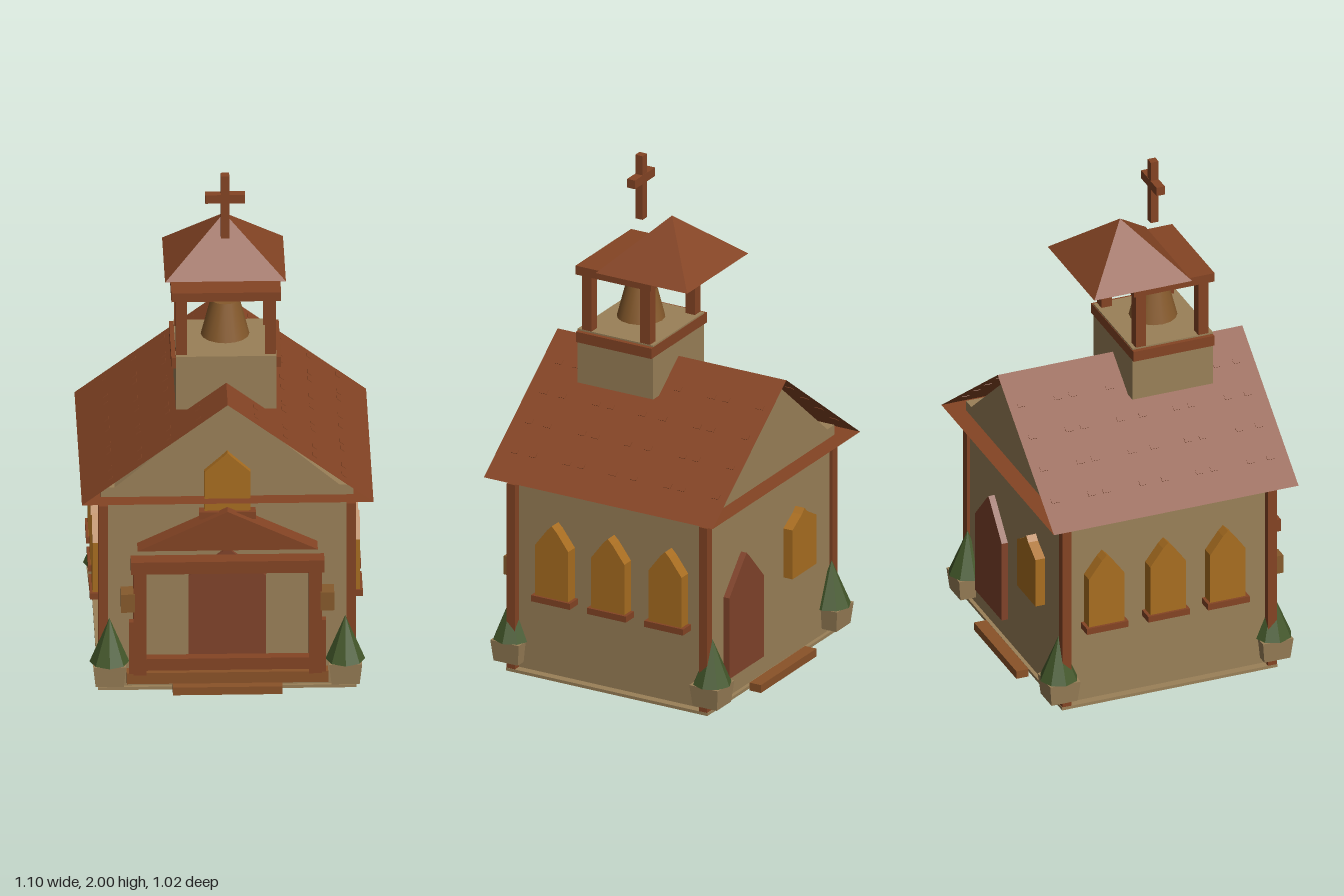
import * as THREE from 'three';

const mat = (name, color, side = THREE.FrontSide) => {
  const m = new THREE.MeshStandardMaterial({ color, side });
  m.name = name;
  return m;
};

export function createModel() {
  const root = new THREE.Group();
  root.name = 'chapel';
  const plaster = mat('plaster', 0x9a8058);
  const timber = mat('timber', 0x844424);
  const tile = mat('roofTile', 0x844424, THREE.DoubleSide);
  const doorWood = mat('doorWood', 0x80432a);
  const glass = mat('goldenGlass', 0xa86d20);
  const bronze = mat('bronze', 0x865a2c);
  const deck = mat('deckWood', 0x8a5228);
  const leaf = mat('leaf', 0x44582b);

  const add = (name, geo, m) => {
    const mesh = new THREE.Mesh(geo, m);
    mesh.name = name;
    root.add(mesh);
    return mesh;
  };
  // Box given by its limits on each axis
  const box = (name, m, x0, x1, y0, y1, z0, z1) => {
    const mesh = add(name, new THREE.BoxGeometry(x1 - x0, y1 - y0, z1 - z0), m);
    mesh.position.set((x0 + x1) / 2, (y0 + y1) / 2, (z0 + z1) / 2);
    return mesh;
  };
  // Upright outline pushed out along +z
  const slab = (name, m, points, depth) => {
    const shape = new THREE.Shape(points.map(p => new THREE.Vector2(...p)));
    return add(name, new THREE.ExtrudeGeometry(shape, { depth, bevelEnabled: false }), m);
  };
  // Rectangle with a pointed top
  const pointed = (name, m, w, y0, shoulder, apex, depth) => slab(name, m,
    [[-w / 2, y0], [w / 2, y0], [w / 2, shoulder], [0.02, apex - 0.02], [0, apex], [-0.02, apex - 0.02], [-w / 2, shoulder]], depth);
  const flat = geo => {
    const g = geo.toNonIndexed();
    g.computeVertexNormals();
    return g;
  };

  // Walls and gables
  box('walls', plaster, -0.455, 0.455, 0, 0.8, -0.425, 0.425);
  slab('gable', plaster, [[-0.477, 0.8], [0.477, 0.8], [0.477, 0.84], [0.425, 0.84], [0, 1.2], [-0.425, 0.84], [-0.477, 0.84]], 0.86)
    .position.z = -0.43;
  box('plinth', plaster, -0.487, 0.487, 0, 0.012, -0.44, 0.44);

  // Main roof: two thin slopes and a flat soffit
  const slopeLength = Math.hypot(0.55, 0.41), pitch = Math.atan2(0.41, 0.55);
  for (const s of [-1, 1]) {
    const slope = add('roofSlope', new THREE.PlaneGeometry(slopeLength, 1).rotateX(-Math.PI / 2), tile);
    slope.rotation.z = -s * pitch;
    slope.position.set(s * 0.275, 1.005, 0);
    // Small raised tile edges in rows
    for (let row = 1; row <= 4; row++) {
      for (const z of [-0.45, -0.3, -0.24, -0.09, 0, 0.14, 0.2, 0.35, 0.43]) {
        const t = add('tileEdge', new THREE.BoxGeometry(0.02, 0.004, 0.03), tile);
        t.rotation.z = -s * pitch;
        t.position.set(s * 0.11 * row, 1.21 - 0.745 * 0.11 * row, z);
      }
    }
  }
  add('soffit', new THREE.PlaneGeometry(1.1, 1).rotateX(-Math.PI / 2), tile).position.y = 0.8;

  // Corner posts, potted trees and side windows
  for (const sx of [-1, 1]) {
    for (const sz of [-1, 1]) {
      const post = box('cornerPost', timber, -0.018, 0.018, 0.012, 0.765, -0.018, 0.018);
      post.position.x = sx * 0.468;
      post.position.z = sz * 0.42;
      const pot = add('planter', flat(new THREE.CylinderGeometry(0.088, 0.075, 0.085, 4).rotateY(Math.PI / 4)), plaster);
      pot.position.set(sx * 0.445, 0.078, sz * 0.435);
      const tree = add('tree', flat(new THREE.ConeGeometry(0.075, 0.18, 8)), leaf);
      tree.position.set(sx * 0.445, 0.21, sz * 0.437);
    }
    for (const z of [0.23, -0.015, -0.265]) {
      const win = pointed('sideWindow', glass, 0.145, 0.34, 0.55, 0.64, 0.055);
      win.rotation.y = sx * Math.PI / 2;
      win.position.set(sx * 0.45, 0, z);
      const sill = box('sideSill', timber, -0.035, 0.035, 0.32, 0.345, z - 0.085, z + 0.085);
      sill.position.x = sx * 0.48;
    }
  }

  // Front door and upper window
  pointed('frontDoor', doorWood, 0.292, 0.1, 0.47, 0.59, 0.02).position.z = 0.42;
  pointed('frontWindow', glass, 0.174, 0.75, 0.91, 0.99, 0.035).position.z = 0.42;
  box('frontSill', timber, -0.107, 0.107, 0.72, 0.75, 0.42, 0.47);

  // Back door and window
  const backDoor = pointed('backDoor', doorWood, 0.26, 0.1, 0.43, 0.57, 0.03);
  backDoor.rotation.y = Math.PI;
  backDoor.position.set(0.21, 0, -0.42);
  const backWindow = pointed('backWindow', glass, 0.18, 0.35, 0.55, 0.61, 0.045);
  backWindow.rotation.y = Math.PI;
  backWindow.position.set(-0.195, 0, -0.42);

  // Steps and porch deck
  for (const s of [-1, 1]) {
    const z = s * 0.485;
    box('step', deck, -0.207, 0.207, 0.008, 0.04, z - 0.025, z + 0.025);
  }
  box('porchDeck', deck, -0.38, 0.38, 0.04, 0.085, 0.42, 0.475);

  // Porch frame
  box('porchBeam', timber, -0.365, 0.365, 0.51, 0.56, 0.44, 0.505);
  box('porchRail', timber, -0.31, 0.31, 0.1, 0.148, 0.445, 0.485);
  for (const s of [-1, 1]) {
    box('porchPost', timber, -0.024, 0.024, 0.085, 0.51, 0.445, 0.493).position.x = s * 0.331;
    box('porchSidePlate', timber, -0.009, 0.009, 0.085, 0.3, 0.45, 0.48).position.x = s * 0.363;
    box('wallLamp', bronze, -0.026, 0.026, 0.35, 0.425, 0.42, 0.5).position.x = s * 0.376;
  }
  slab('porchPediment', timber, [[-0.34, 0.605], [0.34, 0.605], [0, 0.765]], 0.08).position.z = 0.42;

  // Bell tower
  box('towerBase', plaster, -0.19, 0.19, 1.1, 1.32, -0.029, 0.301);
  box('towerBand', timber, -0.207, 0.207, 1.272, 1.314, -0.031, 0.299);
  for (const x of [-0.168, 0.168]) {
    for (const z of [0.007, 0.262]) {
      box('towerPost', timber, x - 0.021, x + 0.021, 1.31, 1.55, z - 0.021, z + 0.021);
    }
  }
  box('towerPlate', timber, -0.207, 0.207, 1.548, 1.584, -0.03, 0.3);
  add('bell', new THREE.CylinderGeometry(0.055, 0.092, 0.145, 16), bronze).position.set(0, 1.412, 0.135);
  box('bellHanger', timber, -0.017, 0.017, 1.48, 1.55, 0.118, 0.152);
  const cap = flat(new THREE.ConeGeometry(Math.SQRT2, 0.195, 4).rotateY(Math.PI / 4).scale(0.228, 1, 0.2));
  add('towerRoof', cap, timber).position.y = 1.68;

  // Cross
  box('crossUpright', timber, -0.016, 0.016, 1.74, 2, 0.119, 0.151);
  box('crossArm', timber, -0.075, 0.075, 1.887, 1.922, 0.118, 0.152);

  return root;
}
